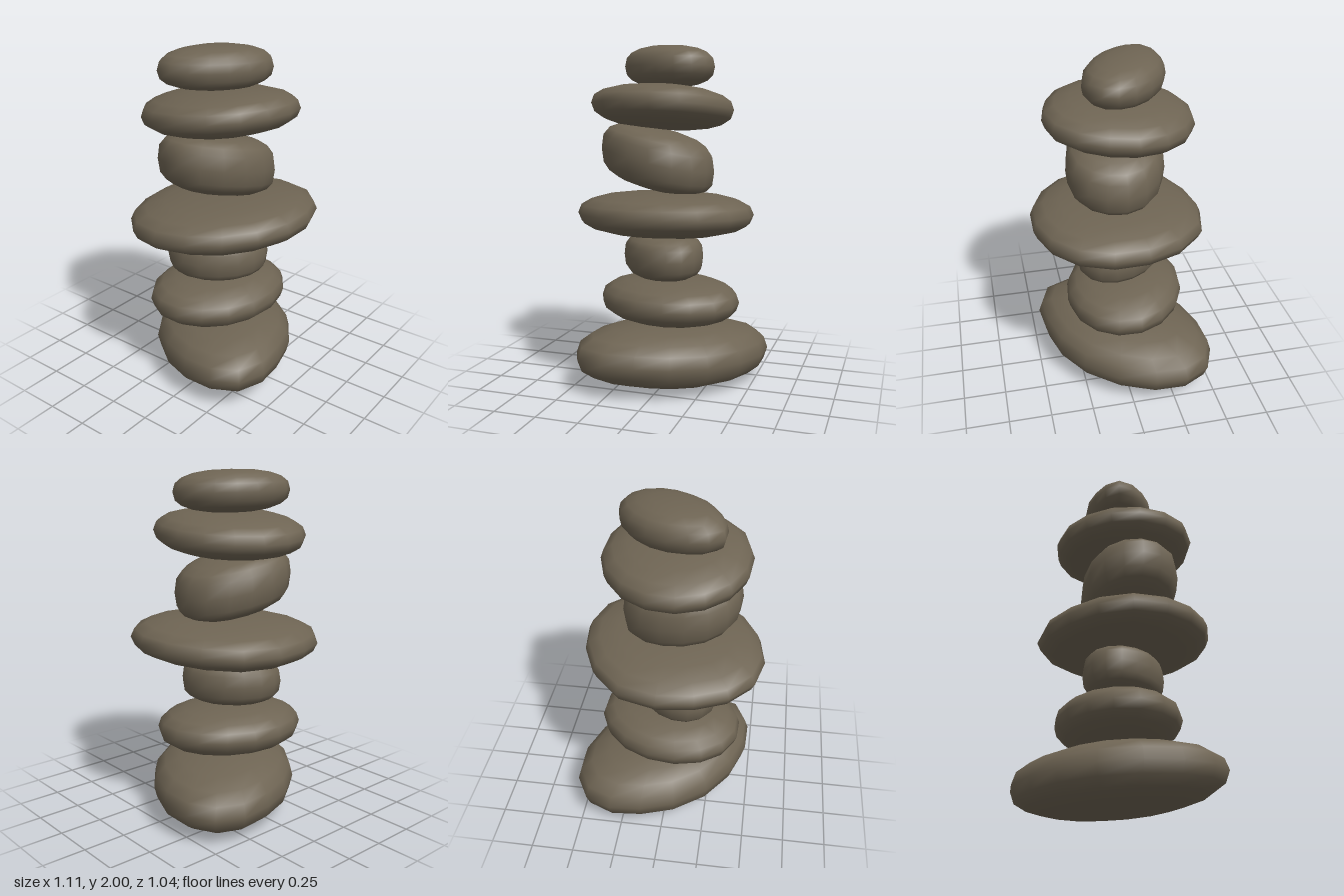
import * as THREE from 'three';

const stoneMaterial = new THREE.MeshStandardMaterial({ color: 0x6e6453 });
stoneMaterial.name = 'stone brown';

const SIDES = 16, RINGS = 9;
const EVEN = [1, 1, 1, 1, 1, 1, 1, 1];

// Rounded power curve: low power is round, high power is boxy
const soften = (value, power) => Math.sign(value) * Math.pow(Math.abs(value), 2 / power);

// Pebble: an oval with eight bulges, turned about y, shrunk to two poles, then tilted
function makeStone({ name, x, y, z, long, short, half, turn, bulge = EVEN, power = 2.4, tiltX = 0, tiltZ = 0 }) {
  const positions = [], index = [];
  const add = (dx, dy, dz) =>
    positions.push(dx, dy + tiltX * dx + tiltZ * dz, dz);

  for (let j = 1; j <= RINGS; j++) {
    const phi = (j / (RINGS + 1) - 0.5) * Math.PI;
    const scale = soften(Math.cos(phi), power);
    for (let i = 0; i < SIDES; i++) {
      const t = (i / SIDES) * Math.PI * 2;
      const r = scale * (bulge[i >> 1] + bulge[((i + 1) >> 1) % 8]) / 2;
      const u = long * r * Math.cos(t), v = short * r * Math.sin(t);
      add(
        u * Math.cos(turn) - v * Math.sin(turn),
        half * soften(Math.sin(phi), power),
        u * Math.sin(turn) + v * Math.cos(turn),
      );
    }
  }
  const bottom = SIDES * RINGS, top = bottom + 1, last = SIDES * (RINGS - 1);
  add(0, -half, 0);
  add(0, half, 0);

  for (let i = 0; i < SIDES; i++) {
    const k = (i + 1) % SIDES;
    for (let j = 0; j < last; j += SIDES) {
      index.push(j + i, j + i + SIDES, j + k, j + k, j + i + SIDES, j + k + SIDES);
    }
    index.push(bottom, i, k, top, last + k, last + i);
  }

  const geometry = new THREE.BufferGeometry();
  geometry.setAttribute('position', new THREE.Float32BufferAttribute(positions, 3));
  geometry.setIndex(index);
  geometry.computeVertexNormals();
  const mesh = new THREE.Mesh(geometry, stoneMaterial);
  mesh.name = name;
  mesh.position.set(x, y, z);
  return mesh;
}

// Stones from the ground up
const stones = [
  {
    name: 'baseStone', x: 0.035, y: 0.19, z: -0.03, long: 0.61, short: 0.42, half: 0.185, turn: -0.785,
    tiltX: -0.02, tiltZ: 0.04, bulge: [1.01, 1.01, 1, 0.93, 1.02, 0.99, 1, 0.95],
  },
  { name: 'secondStone', x: 0, y: 0.505, z: -0.045, long: 0.438, short: 0.355, half: 0.137, turn: 0.28 },
  { name: 'thirdStone', x: -0.03, y: 0.775, z: -0.025, long: 0.298, short: 0.226, half: 0.138, turn: 0.9, power: 3 },
  {
    name: 'wideStone', x: -0.025, y: 1.03, z: 0.022, long: 0.545, short: 0.487, half: 0.132, turn: 0.53,
    tiltX: 0.01, tiltZ: 0.05, bulge: [1.03, 0.98, 0.96, 0.97, 1.02, 1.02, 1.12, 1.04],
  },
  {
    name: 'tiltedStone', x: -0.06, y: 1.35, z: -0.005, long: 0.345, short: 0.285, half: 0.175, turn: 0.32,
    power: 3, tiltX: -0.21, bulge: [1, 1.03, 1, 1.03, 1, 1.03, 1, 1.03],
  },
  {
    name: 'sixthStone', x: -0.02, y: 1.645, z: -0.02, long: 0.442, short: 0.407, half: 0.127, turn: 1.08,
    tiltX: -0.03, tiltZ: 0.09, bulge: [1.02, 0.99, 1.05, 1.02, 0.99, 0.99, 0.99, 0.98],
  },
  {
    name: 'topStone', x: -0.01, y: 1.88, z: -0.043, long: 0.33, short: 0.22, half: 0.12, turn: 0.56,
    power: 2.5, tiltX: -0.02, bulge: [1, 0.98, 0.91, 0.93, 1.04, 0.95, 0.99, 1],
  },
];

export function createModel() {
  const group = new THREE.Group();
  group.name = 'stackedStones';
  for (const stone of stones) group.add(makeStone(stone));
  return group;
}
